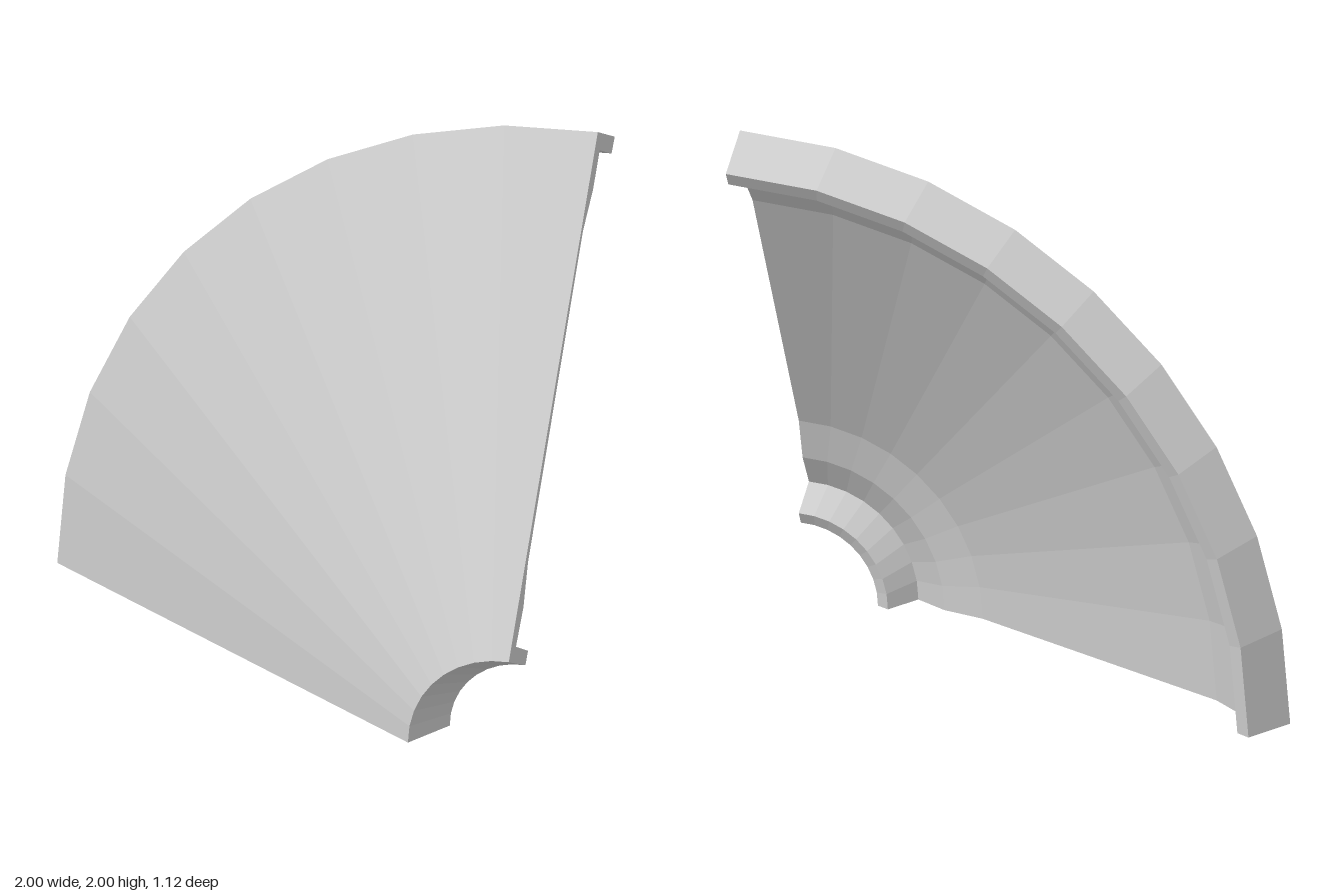
import * as THREE from 'three';

// Closed wall section as [radius, z], counter-clockwise from the outer rim
const SECTION = [
  [2.0, -0.38], [0.373, 0.558],                                // outer cone face
  [0.28, 0.382], [0.324, 0.355], [0.398, 0.482],               // inner collar
  [0.515, 0.403], [0.668, 0.355],                              // fillet at the collar
  [1.687, -0.223], [1.8, -0.33],                               // inside of the cone, rim fillet
  [1.92, -0.4], [1.85, -0.525], [1.9, -0.558],                 // rim lip
];

export function createModel() {
  const group = new THREE.Group();
  const material = new THREE.MeshStandardMaterial({ color: 0xcccccc, flatShading: true });

  const add = (name, geometry) => {
    const mesh = new THREE.Mesh(geometry, material);
    mesh.name = name;
    mesh.position.x = 1; // cone axis runs along z at the model's left edge
    group.add(mesh);
  };
  const sectionShape = (sign) =>
    new THREE.ShapeGeometry(new THREE.Shape(SECTION.map(([r, z]) => new THREE.Vector2(sign * r, z))));

  // Quarter-turn conical shell with collar and rim lip
  const loop = [...SECTION, SECTION[0]].map(([r, z]) => new THREE.Vector2(r, z));
  add('coneShell', new THREE.LatheGeometry(loop, 9, Math.PI, Math.PI / 2).rotateX(Math.PI / 2));

  // Flat cut faces closing both ends of the quarter turn
  add('sideCutFace', sectionShape(1).rotateY(Math.PI / 2).rotateX(Math.PI / 2));
  add('bottomCutFace', sectionShape(-1).rotateX(Math.PI / 2));

  return group;
}
